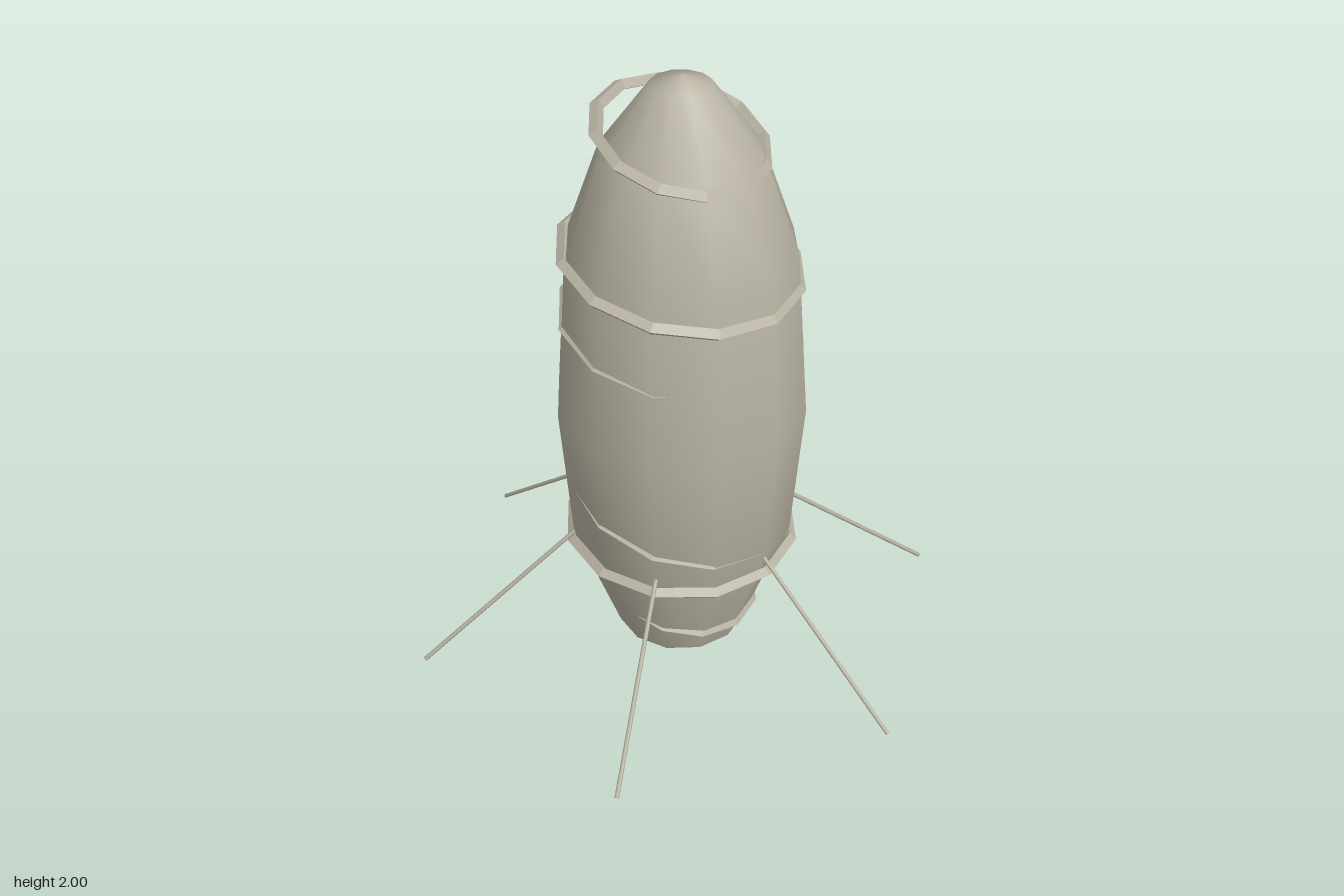
import * as THREE from 'three';

const V2 = (p) => new THREE.Vector2(p[0], p[1]);

export function createModel() {
  const group = new THREE.Group();
  const stone = new THREE.MeshStandardMaterial({ color: 0xb8b3a3 });
  stone.name = 'warm grey';

  function add(name, geometry) {
    const mesh = new THREE.Mesh(geometry, stone);
    mesh.name = name;
    group.add(mesh);
    return mesh;
  }

  // Twelve-sided pod, smooth along its length
  const hull = [[0.21, 0.06], [0.355, 0.47], [0.39, 0.93], [0.35, 1.46], [0.24, 1.77], [0.09, 1.975], [0, 2]];
  add('hull', new THREE.LatheGeometry(hull.map(V2), 12));

  // Shallow cone closing the underside
  add('base', new THREE.LatheGeometry([[0, 0], [0.21, 0.06]].map(V2), 12));

  // Tilted bands: height, radius, tube, slope along x, slope along z
  const bands = [
    [1.815, 0.25, 0.021, -0.17, -0.29],
    [1.42, 0.357, 0.021, -0.12, -0.14],
    [1.222, 0.362, 0.014, -0.05, -0.17],
    [0.61, 0.357, 0.017, -0.2, -0.25],
    [0.433, 0.357, 0.021, -0.02, -0.03],
    [0.205, 0.245, 0.018, -0.2, -0.22],
  ];
  const up = new THREE.Vector3(0, 1, 0);
  bands.forEach(([y, radius, tube, sx, sz], i) => {
    const ring = new THREE.TorusGeometry(radius, tube, 4, 12).rotateX(Math.PI / 2).toNonIndexed();
    ring.computeVertexNormals(); // faceted diamond section
    const mesh = add('band' + (i + 1), ring);
    mesh.position.y = y;
    mesh.quaternion.setFromUnitVectors(up, new THREE.Vector3(-sx, 1, -sz).normalize());
  });

  // Six thin splayed legs
  for (let i = 0; i < 6; i++) {
    const a = (i * Math.PI) / 3;
    const top = new THREE.Vector3(0.35 * Math.cos(a), 0.477, 0.35 * Math.sin(a));
    const foot = new THREE.Vector3(0.868 * Math.cos(a), 0.063, 0.868 * Math.sin(a));
    const dir = top.clone().sub(foot);
    const leg = add('leg' + (i + 1), new THREE.CylinderGeometry(0.007, 0.007, dir.length(), 6));
    leg.position.copy(top).add(foot).multiplyScalar(0.5);
    leg.quaternion.setFromUnitVectors(up, dir.normalize());
  }

  return group;
}
